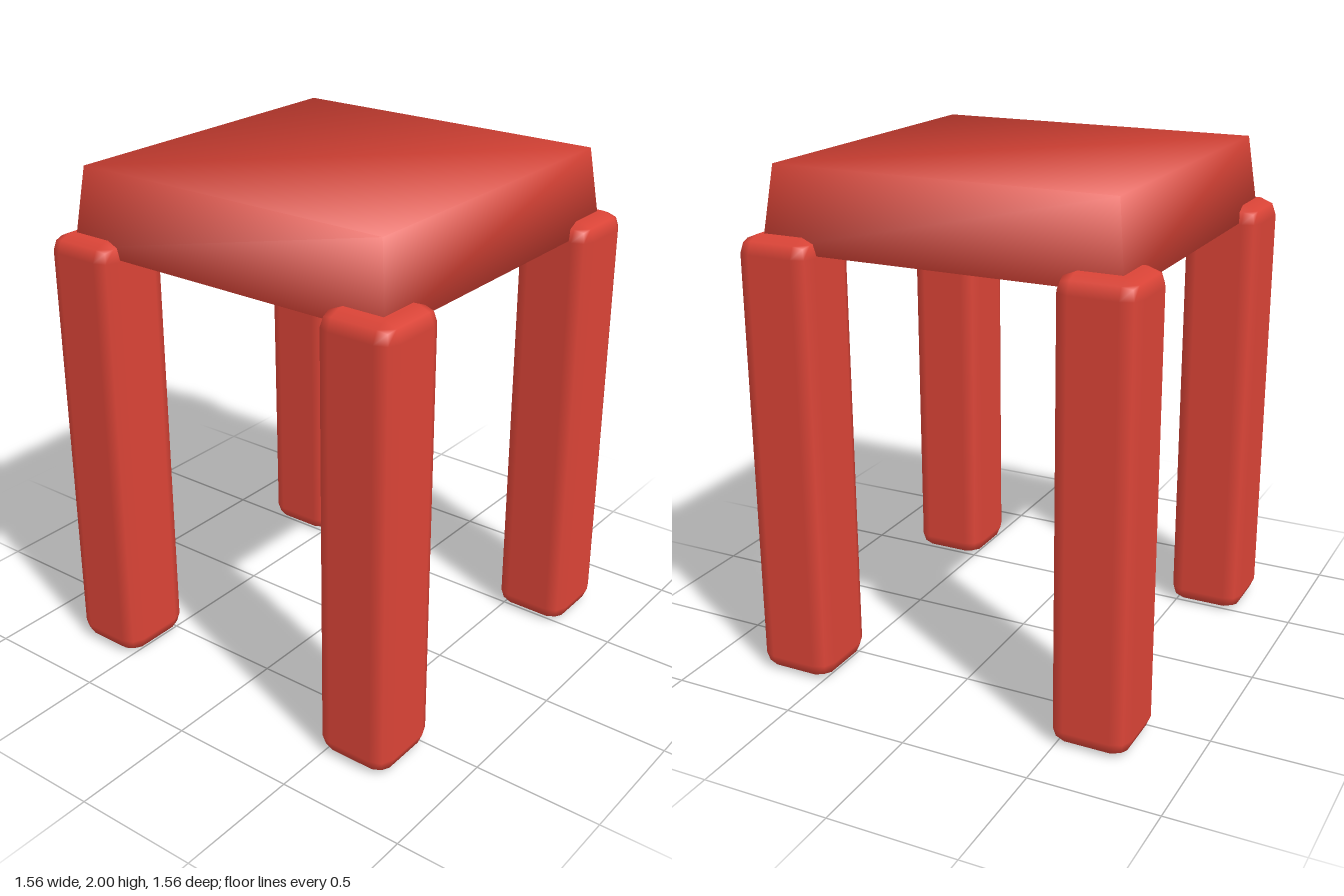
import * as THREE from 'three';
import { RoundedBoxGeometry } from 'three/addons/geometries/RoundedBoxGeometry.js';

const SEAT_BOTTOM = 1.69, SEAT_TOP = 2;
const LEG_WIDTH = 0.31, LEG_HEIGHT = 1.75, LEG_OFFSET = 0.625;

// Tapered slab whose corner normals are averaged over the three meeting faces
function seatGeometry(bottomHalf, topHalf) {
  const height = SEAT_TOP - SEAT_BOTTOM;
  const slope = (bottomHalf - topHalf) / height;
  const geometry = new THREE.BoxGeometry(2, 2, 2);
  const { position, normal } = geometry.attributes;
  const n = new THREE.Vector3();
  const sideLength = Math.hypot(1, slope);
  for (let i = 0; i < position.count; i++) {
    const sx = Math.sign(position.getX(i));
    const sy = Math.sign(position.getY(i));
    const sz = Math.sign(position.getZ(i));
    const half = sy > 0 ? topHalf : bottomHalf;
    position.setXYZ(i, sx * half, sy > 0 ? SEAT_TOP : SEAT_BOTTOM, sz * half);
    n.set(sx / sideLength, sy + (2 * slope) / sideLength, sz / sideLength).normalize();
    normal.setXYZ(i, n.x, n.y, n.z);
  }
  return geometry;
}

export function createModel() {
  const model = new THREE.Group();
  model.name = 'stool';
  const red = new THREE.MeshStandardMaterial({ color: 0xdb4437 });
  red.name = 'red';

  const seat = new THREE.Mesh(seatGeometry(0.705, 0.667), red);
  seat.name = 'seat';
  model.add(seat);

  // Four bevelled legs, one under each corner
  const legGeometry = new RoundedBoxGeometry(LEG_WIDTH, LEG_HEIGHT, LEG_WIDTH, 1, 0.065);
  for (const [side, x] of [['Left', 1], ['Right', -1]]) {
    for (const [end, z] of [['front', 1], ['back', -1]]) {
      const leg = new THREE.Mesh(legGeometry, red);
      leg.name = `${end}${side}Leg`;
      leg.position.set(x * LEG_OFFSET, LEG_HEIGHT / 2, z * LEG_OFFSET);
      model.add(leg);
    }
  }
  return model;
}
